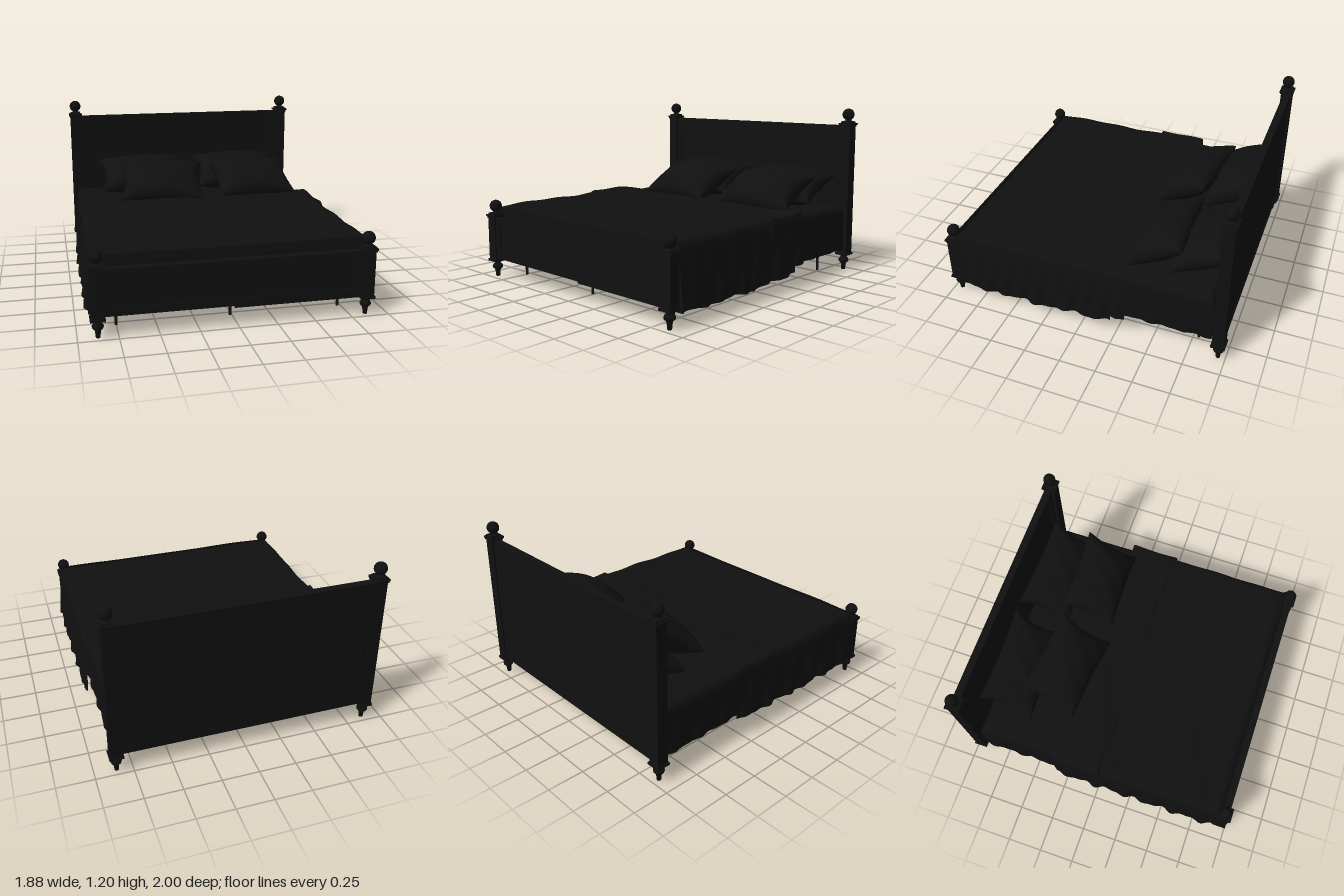
import * as THREE from 'three';
import { RoundedBoxGeometry } from 'three/addons/geometries/RoundedBoxGeometry.js';

const CX = -0.01;      // middle of the frame
const POST_X = 0.865;  // post offset from the middle
const POST_Z = 0.95;
const mat = new THREE.MeshStandardMaterial({ color: 0x101010 });
const cloth = new THREE.MeshStandardMaterial({ color: 0x101010, side: THREE.DoubleSide });

function add(parent, name, geo, x = 0, y = 0, z = 0, m = mat) {
  const mesh = new THREE.Mesh(geo, m);
  mesh.name = name;
  mesh.position.set(x, y, z);
  parent.add(mesh);
  return mesh;
}
const box = (w, h, d) => new THREE.BoxGeometry(w, h, d);
const lathe = (pts) => new THREE.LatheGeometry(pts.map(p => new THREE.Vector2(...p)), 24);

// Smooth grid surface from a function (u, v in 0..1) -> [x, y, z]
function surface(nu, nv, fn) {
  const pos = [], idx = [];
  for (let j = 0; j <= nv; j++)
    for (let i = 0; i <= nu; i++) pos.push(...fn(i / nu, j / nv));
  for (let j = 0; j < nv; j++)
    for (let i = 0; i < nu; i++) {
      const a = j * (nu + 1) + i, b = a + 1, c = a + nu + 1, d = c + 1;
      idx.push(a, c, b, b, c, d);
    }
  const g = new THREE.BufferGeometry();
  g.setAttribute('position', new THREE.Float32BufferAttribute(pos, 3));
  g.setIndex(idx);
  g.computeVertexNormals();
  return g;
}

// Square post with a turned foot, stepped cap and ball
function post(name, x, z, top) {
  const g = new THREE.Group();
  g.name = name;
  g.position.set(x, 0, z);
  add(g, 'foot', lathe([[0, 0], [0.014, 0], [0.018, 0.04], [0.022, 0.052], [0.034, 0.062],
    [0.037, 0.075], [0.03, 0.088], [0.02, 0.096], [0.024, 0.106], [0.038, 0.115], [0, 0.115]]));
  add(g, 'footPlate', box(0.095, 0.016, 0.095), 0, 0.122);
  add(g, 'shaft', box(0.08, top - 0.13, 0.08), 0, (top + 0.13) / 2);
  add(g, 'capMoulding', box(0.09, 0.012, 0.09), 0, top - 0.006);
  add(g, 'cap', box(0.1, 0.014, 0.1), 0, top + 0.007);
  add(g, 'capStep', box(0.075, 0.012, 0.075), 0, top + 0.02);
  add(g, 'ballNeck', lathe([[0.035, 0.024], [0.022, 0.032], [0.018, 0.05]]), 0, top);
  add(g, 'ball', new THREE.SphereGeometry(0.043, 28, 20), 0, top + 0.076);
  return g;
}

// Framed board between two posts, its mouldings on the face toward +z
function board(name, z, y0, y1) {
  const g = new THREE.Group();
  g.name = name;
  g.position.set(CX, 0, z);
  const w = 2 * POST_X - 0.07, h = y1 - y0, edge = 0.05;
  add(g, 'panel', box(w, h, 0.036), 0, (y0 + y1) / 2, -0.004);
  for (const s of [-1, 1]) {
    add(g, 'stile', box(edge, h, 0.05), s * (w - edge) / 2, (y0 + y1) / 2);
    add(g, 'crossRail', box(w, edge, 0.05), 0, s > 0 ? y1 - edge / 2 : y0 + edge / 2);
  }
  return g;
}

// Cloth laid over the mattress: flat top, rounded edges, hanging sides
function drape({ z0, z1, w, top, hem, flare, r = 0.05, roundBack = false, wrinkle = 0.006, fold = 0.01 }) {
  return surface(110, 110, (u, v) => {
    const s = u * 2 - 1, side = Math.sign(s) || 1;
    const ends = roundBack ? 0.1 : 0;
    // rows past each end run down the rounded end of the mattress
    const t = (v - ends) / (0.9 - ends);
    let z = z0 + (z1 - z0) * Math.min(1, Math.max(0, t)), drop = 0;
    const over = t > 1 ? (v - 0.9) / 0.1 : t < 0 ? (ends - v) / ends : 0;
    const near = Math.min(z1 - z, roundBack ? z - z0 : 9);
    if (near < r) drop = r - Math.sqrt(r * r - (r - near) ** 2);
    const low = hem(z, side);
    if (over > 0) drop = r + over * (top - low - r);
    let x, y, d = 0;
    const a = Math.abs(s);
    if (a < 0.6) {
      x = side * a / 0.6 * (w - r);
      y = top;
    } else if (a < 0.7) {
      const q = (a - 0.6) / 0.1 * Math.PI / 2;
      x = side * (w - r + r * Math.sin(q));
      y = top - r + r * Math.cos(q);
    } else {
      d = (a - 0.7) / 0.3;
      y = top - r - d * (top - r - low);
      const ripple = Math.sin(z * 31 + d * 3 + side) + 0.6 * Math.sin(z * 53 - d * 4);
      x = side * (w + flare * Math.sqrt(d) + fold * d * ripple);
    }
    // long shallow creases bending across the bed
    const c = Math.sin(z * 14 + Math.cos(x * 2.2) * 2.5 + x) * Math.sin(z * 5 + x * 3);
    y += wrinkle * c * (1 - d) * (over > 0 ? 0 : 1);
    if (drop > 0) y = Math.max(low, Math.min(y, top - drop));
    return [CX + x, y, z];
  });
}

// Stuffed pillow with pinched corners and inward curving sides
function pillow(name, w, l, x, y, z, tilt, yaw) {
  const g = new THREE.Group();
  g.name = name;
  g.position.set(x, y, z);
  g.rotation.set(tilt, yaw, 0, 'YXZ');
  for (const s of [1, -1]) {
    const geo = surface(36, 28, (u, v) => {
      const a = Math.sin((u - 0.5) * Math.PI), b = Math.sin((v - 0.5) * Math.PI);
      const ka = 1 - a * a, kb = 1 - b * b;
      const h = 0.128 * Math.pow(ka, 0.42) * Math.pow(kb, 0.5)
        + 0.004 * ka * kb * Math.sin(a * 9 + b * 5 + x * 7);
      return [s * a * w / 2 * (1 - 0.13 * kb), s * h, b * l / 2 * (1 - 0.07 * ka)];
    });
    add(g, s > 0 ? 'pillowTop' : 'pillowBottom', geo, 0, 0, 0, cloth);
  }
  return g;
}

export function createModel() {
  const bed = new THREE.Group();
  bed.name = 'bed';

  // Frame
  for (const s of [-1, 1]) {
    const x = CX + s * POST_X;
    bed.add(post('headPost', x, -POST_Z, 1.085));
    bed.add(post('footPost', x, POST_Z, 0.44));
    add(bed, 'sideRail', box(0.035, 0.22, 1.86), CX + s * 0.85, 0.28, 0);
    add(bed, 'railLedge', box(0.03, 0.03, 1.84), CX + s * 0.82, 0.19, 0);
  }
  bed.add(board('headboard', -0.955, 0.14, 1.08));
  bed.add(board('footboard', 0.955, 0.14, 0.44));

  // Base with bearers and nine support legs
  add(bed, 'baseBoard', box(1.68, 0.02, 1.86), CX, 0.215, 0);
  for (const i of [-1, 0, 1]) {
    add(bed, 'bearer', box(0.03, 0.03, 1.84), CX + i * 0.74, 0.19, 0);
    for (const k of [-1, 0, 1])
      add(bed, 'supportLeg', new THREE.CylinderGeometry(0.012, 0.009, 0.2, 12), CX + i * 0.74, 0.1, k * 0.785);
  }

  // Mattress and bedding
  add(bed, 'mattress', new RoundedBoxGeometry(1.72, 0.26, 1.78, 4, 0.05), CX, 0.355, 0);
  add(bed, 'sheet', drape({
    z0: -0.9, z1: 0.89, w: 0.875, top: 0.495, hem: () => 0.16, flare: 0.008,
    roundBack: true, wrinkle: 0.003, fold: 0.006,
  }), 0, 0, 0, cloth);
  add(bed, 'blanket', drape({
    z0: -0.22, z1: 0.91, w: 0.895, top: 0.515, flare: 0.03, wrinkle: 0.007,
    hem: (z, s) => (s > 0 ? 0.095 : 0.135) + 0.05 * Math.max(0, 0.25 - z) + 0.007 * Math.sin(z * 17),
  }), 0, 0, 0, cloth);
  add(bed, 'foldedBand', drape({
    z0: -0.32, z1: 0.03, w: 0.9, top: 0.522, flare: 0.025, wrinkle: 0.009, r: 0.022, fold: 0.008,
    hem: (z) => 0.165 - 0.06 * Math.max(0, z + 0.1),
  }), 0, 0, 0, cloth);

  // Pillows
  bed.add(pillow('backPillowRight', 0.71, 0.4, -0.35, 0.625, -0.75, 0.46, 0.01));
  bed.add(pillow('backPillowLeft', 0.71, 0.4, 0.425, 0.625, -0.75, 0.46, -0.02));
  bed.add(pillow('frontPillowRight', 0.65, 0.43, -0.25, 0.625, -0.445, 0.5, -0.11));
  bed.add(pillow('frontPillowLeft', 0.63, 0.42, 0.47, 0.62, -0.45, 0.5, 0.03));
  return bed;
}
